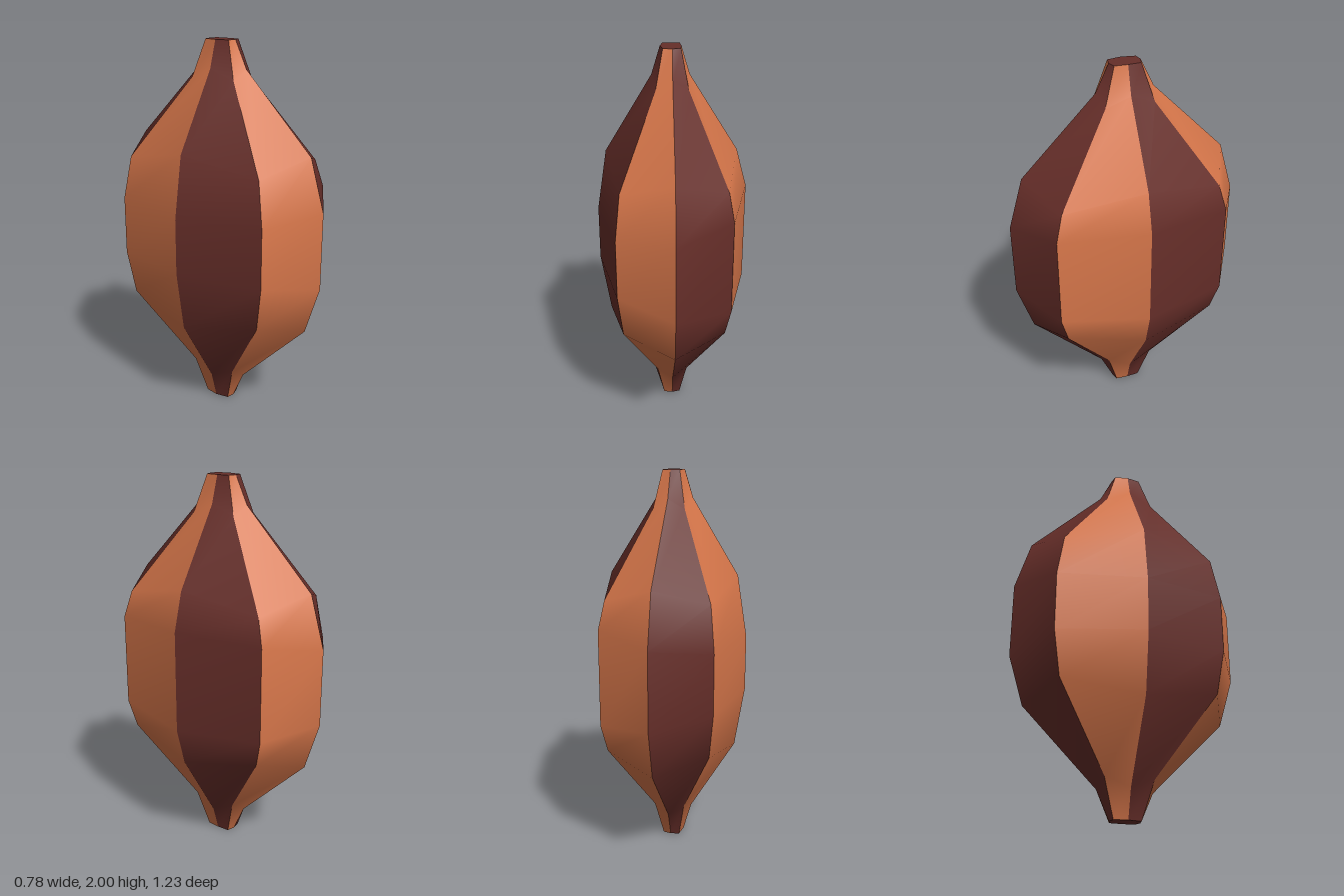
import * as THREE from 'three';

// Rib profiles from bottom to top: [fraction of full width, height]
const ridge = [[0.13, 0], [0.24, 0.15], [0.87, 0.54], [1, 0.8], [1, 1.2], [0.87, 1.47], [0.24, 1.86], [0.13, 2]];
const leftRidge = [[0.12, 0], [0.23, 0.14], [0.86, 0.54], [1, 0.74], [1, 1.27], [0.86, 1.47], [0.23, 1.86], [0.12, 2]];
const rightRidge = [[0.15, 0], [0.26, 0.15], [0.87, 0.54], [1, 0.86], [1, 1.15], [0.87, 1.47], [0.26, 1.86], [0.15, 2]];
const corner = [[0.15, 0], [0.28, 0.2], [0.915, 0.615], [1, 0.76], [1, 1.25], [0.915, 1.39], [0.28, 1.81], [0.15, 2]];
const rightCorner = [[0.16, 0], [0.29, 0.2], [0.915, 0.615], [1, 0.85], [1, 1.16], [0.915, 1.39], [0.29, 1.81], [0.16, 2]];

// Eight ribs, going round from the front towards +x: [x, z, profile]
const ribs = [
  [0, 0.615, ridge], [0.285, 0.447, corner], [0.39, 0, leftRidge], [0.285, -0.447, corner],
  [0, -0.615, ridge], [-0.285, -0.447, rightCorner], [-0.39, 0, rightRidge], [-0.285, 0.447, rightCorner],
].map(([x, z, profile]) => profile.map(([s, y]) => new THREE.Vector3(x * s, y, z * s)));

function surface(points, index) {
  const geometry = new THREE.BufferGeometry().setFromPoints(points);
  geometry.setIndex(index);
  geometry.computeVertexNormals();
  return geometry;
}

// Strip between two neighbouring ribs, smooth along its length
function panelGeometry(a, b) {
  const index = [];
  const n = a.length;
  for (let i = 0; i < n - 1; i++) {
    index.push(i, n + i, n + i + 1, i, n + i + 1, i + 1);
  }
  return surface([...a, ...b], index);
}

// Flat fan closing one end
function capGeometry(level, up) {
  const rim = ribs.map((rib) => rib[level]);
  const index = [];
  for (let i = 0; i < 8; i++) {
    const j = (i + 1) % 8;
    index.push(8, up ? i : j, up ? j : i);
  }
  return surface([...rim, new THREE.Vector3(0, rim[0].y, 0)], index);
}

export function createModel() {
  const group = new THREE.Group();
  group.name = 'ribbedPod';
  const dark = new THREE.MeshStandardMaterial({ color: 0x662e29 });
  const orange = new THREE.MeshStandardMaterial({ color: 0xd6764a });

  const add = (name, geometry, material) => {
    const mesh = new THREE.Mesh(geometry, material);
    mesh.name = name;
    group.add(mesh);
  };

  // Alternating dark and orange panels
  ribs.forEach((rib, k) => {
    const isDark = k % 2 === 0;
    add(isDark ? 'darkPanel' : 'orangePanel', panelGeometry(rib, ribs[(k + 1) % 8]), isDark ? dark : orange);
  });

  // End caps
  add('topCap', capGeometry(7, true), dark);
  add('bottomCap', capGeometry(0, false), dark);
  return group;
}
